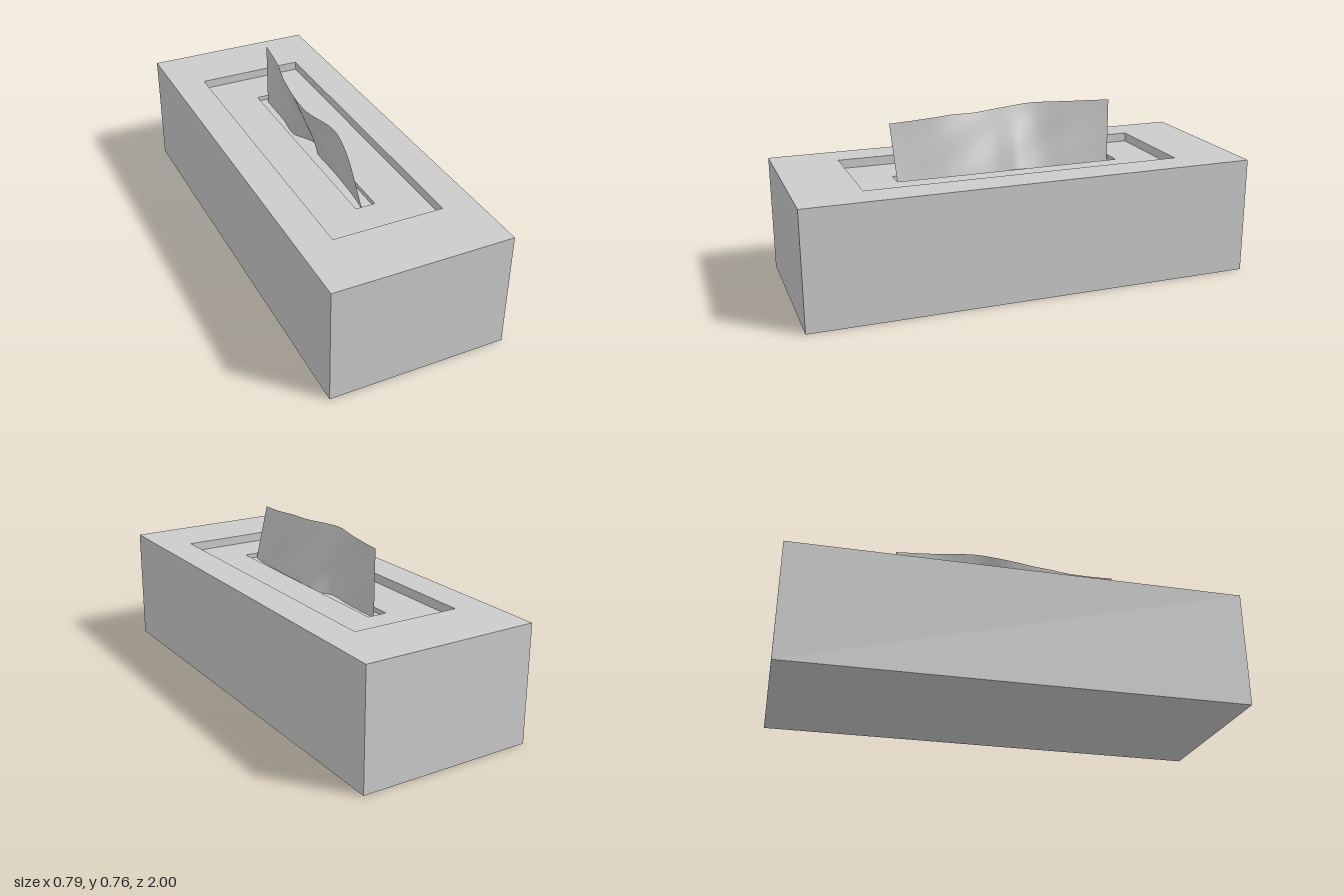
import * as THREE from 'three';

const mat = new THREE.MeshStandardMaterial({ color: 0xcccccc, flatShading: true });
const clothMat = new THREE.MeshStandardMaterial({ color: 0xcccccc, side: THREE.DoubleSide });

// Flat-sided shell through a run of rectangles [halfWidth, y, halfDepth]
function shell(name, rects) {
  const pos = [];
  const corner = ([w, y, d], k) => [[w, y, d], [w, y, -d], [-w, y, -d], [-w, y, d]][k % 4];
  for (let i = 0; i < rects.length - 1; i++) {
    const [lo, hi] = [rects[i], rects[i + 1]];
    for (let k = 0; k < 4; k++) {
      const a = corner(lo, k), b = corner(lo, k + 1), c = corner(hi, k + 1), d = corner(hi, k);
      if (lo[0] > 0) pos.push(...a, ...b, ...c);
      if (hi[0] > 0) pos.push(...a, ...c, ...d);
    }
  }
  const g = new THREE.BufferGeometry();
  g.setAttribute('position', new THREE.Float32BufferAttribute(pos, 3));
  g.computeVertexNormals();
  const mesh = new THREE.Mesh(g, mat);
  mesh.name = name;
  return mesh;
}

// Smooth curve y(z) through points [z, value], returned as a sampling function
function curve(points) {
  return z => {
    const n = points.length;
    let i = 0;
    while (i < n - 2 && z > points[i + 1][0]) i++;
    const slope = k => {
      const a = points[Math.max(k - 1, 0)], b = points[Math.min(k + 1, n - 1)];
      return (b[1] - a[1]) / (b[0] - a[0]);
    };
    const [z0, v0] = points[i], [z1, v1] = points[i + 1];
    const h = z1 - z0, t = (z - z0) / h, t2 = t * t, t3 = t2 * t;
    return v0 * (2 * t3 - 3 * t2 + 1) + slope(i) * h * (t3 - 2 * t2 + t)
      + v1 * (3 * t2 - 2 * t3) + slope(i + 1) * h * (t3 - t2);
  };
}

// Rumpled sheet standing in the slot, leaning to the right along its top edge
function tissueSheet(yBottom) {
  const topX = curve([[-0.5, 0], [-0.3, -0.028], [-0.15, -0.063], [0, -0.077], [0.1, -0.074],
    [0.2, -0.054], [0.3, -0.037], [0.4, -0.048], [0.515, -0.075]]);
  const bottomX = curve([[-0.5, 0], [-0.3, -0.004], [-0.16, -0.014], [-0.1, 0.02], [-0.05, 0.04],
    [0, 0.026], [0.05, 0.011], [0.2, 0.011], [0.4, 0.003], [0.515, -0.01]]);
  const topY = curve([[-0.5, 0.757], [-0.15, 0.757], [0, 0.742], [0.12, 0.731], [0.27, 0.735], [0.515, 0.711]]);
  const g = new THREE.PlaneGeometry(1, 1, 64, 16);
  const p = g.attributes.position;
  for (let i = 0; i < p.count; i++) {
    const u = p.getX(i) + 0.5, t = p.getY(i) + 0.5;
    const z = THREE.MathUtils.lerp(0.505, -0.495, u) + 0.012 * t * (1 - u);
    const ripple = 0.005 * Math.sin(Math.PI * t) * Math.sin(16 * z + 5 * t) * Math.sin(Math.PI * u);
    p.setXYZ(i,
      THREE.MathUtils.lerp(bottomX(z), topX(z), t) + ripple,
      THREE.MathUtils.lerp(yBottom, topY(z), t), z);
  }
  g.computeVertexNormals();
  const mesh = new THREE.Mesh(g, clothMat);
  mesh.name = 'tissue';
  return mesh;
}

export function createModel() {
  const group = new THREE.Group();
  group.name = 'tissueBox';
  const top = 0.522, panel = 0.482, floor = 0.462;

  // Outer carton: base, sides and the wide top rim
  group.add(shell('carton', [[0, 0, 0], [0.393, 0, 1], [0.393, top, 1], [0.245, top, 0.713]]));
  // Sunken panel around the slot
  group.add(shell('recess', [[0.245, top, 0.713], [0.245, panel, 0.713], [0.044, panel, 0.518]]));
  // Shallow dispensing slot
  group.add(shell('slot', [[0.044, panel, 0.518], [0.044, floor, 0.518], [0, floor, 0]]));
  group.add(tissueSheet(floor));
  return group;
}
